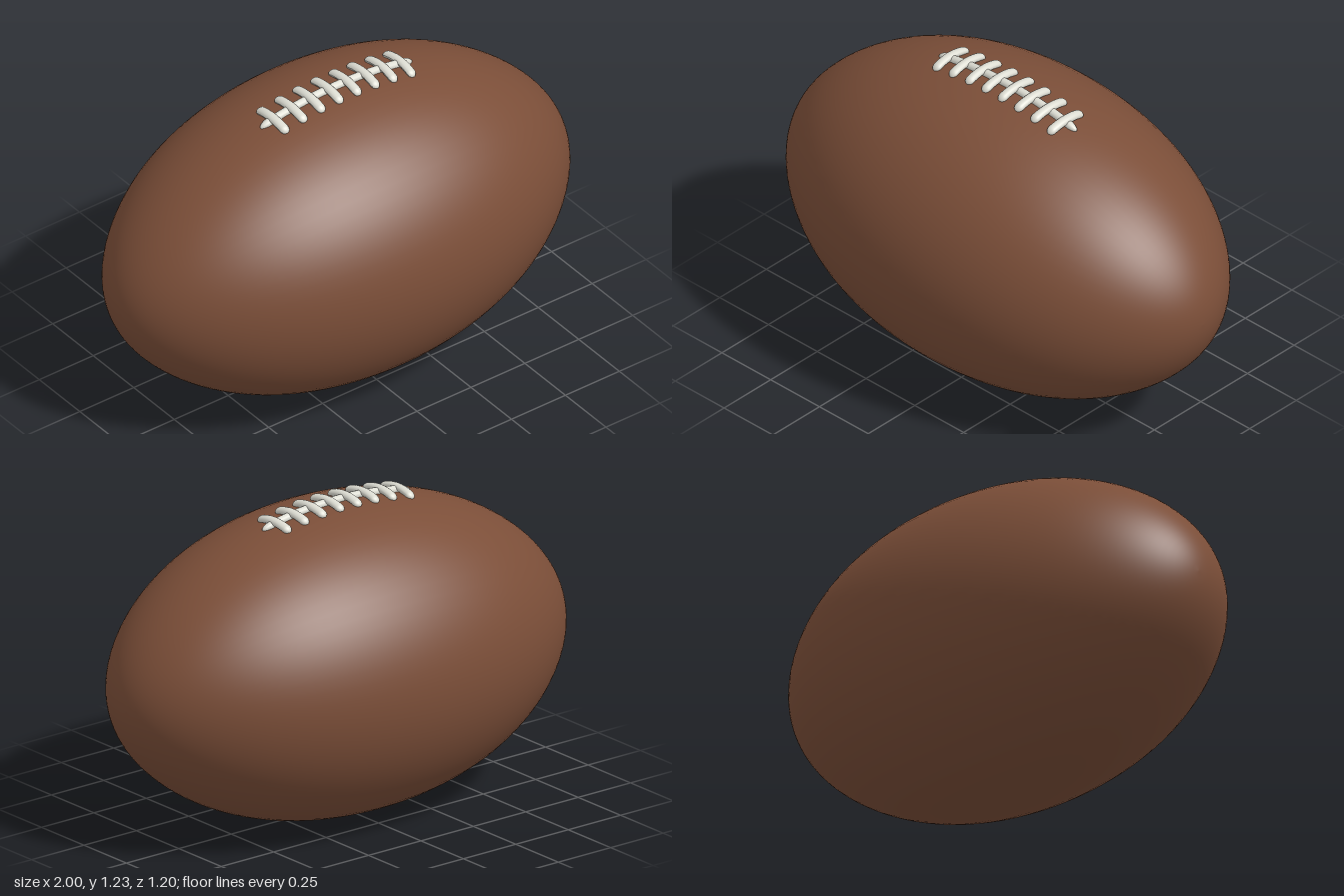
import * as THREE from 'three';

const RADIUS = 0.6;

// Radius of the ball at distance x from its middle: an ellipse slightly drawn in at the tips
const profile = (x) => RADIUS * Math.sqrt(Math.max(0, 1 - x * x)) * (1 - 0.08 * x ** 4);

// Move every vertex of a geometry by a rule, then refresh its normals
function reshape(geometry, rule) {
  const p = geometry.attributes.position;
  const v = new THREE.Vector3();
  for (let i = 0; i < p.count; i++) {
    rule(v.fromBufferAttribute(p, i));
    p.setXYZ(i, v.x, v.y, v.z);
  }
  geometry.computeVertexNormals();
  return geometry;
}

export function createModel() {
  const leather = new THREE.MeshStandardMaterial({ color: 0x7b4e38 });
  leather.name = 'brown leather';
  const cord = new THREE.MeshStandardMaterial({ color: 0xdcdcd2 });
  cord.name = 'white cord';

  const model = new THREE.Group();
  model.name = 'ball';
  const add = (name, geometry, material, parent = model) => {
    const mesh = new THREE.Mesh(geometry, material);
    mesh.name = name;
    parent.add(mesh);
    return mesh;
  };

  // Leather body, turned around the long axis
  const points = [];
  for (let i = 0; i <= 64; i++) {
    const a = -Math.PI / 2 + (i / 64) * Math.PI;
    const x = Math.sin(a);
    points.push(new THREE.Vector2(i % 64 ? profile(x) : 0, x));
  }
  const body = add('body', new THREE.LatheGeometry(points, 72), leather);
  body.rotation.z = -Math.PI / 2;
  body.position.y = RADIUS;

  const laces = new THREE.Group();
  laces.name = 'laces';
  laces.position.y = RADIUS;
  model.add(laces);

  // Long lace following the top of the ball, with pointed ends
  const strand = new THREE.CapsuleGeometry(0.017, 0.62, 6, 14, 32).rotateZ(-Math.PI / 2);
  add('longLace', reshape(strand, (v) => {
    const over = Math.abs(v.x) - 0.31;
    if (over > 0) v.x = Math.sign(v.x) * (0.31 + over * 2.4);
    v.y += profile(v.x) + 0.003;
  }), cord, laces);

  // Eight cross laces, bowed over the ball and tilted with its slope
  const cross = new THREE.CapsuleGeometry(0.019, 0.142, 6, 14, 14).rotateX(Math.PI / 2);
  reshape(cross, (v) => {
    v.y = v.y * 0.78 - 2.1 * v.z * v.z;
  });
  for (let i = 0; i < 8; i++) {
    const x = (i - 3.5) * 0.0845;
    const lace = add('crossLace', cross, cord, laces);
    lace.position.set(x, profile(x) + 0.014, 0);
    lace.rotation.z = Math.atan((profile(x + 0.01) - profile(x - 0.01)) / 0.02);
  }

  return model;
}
